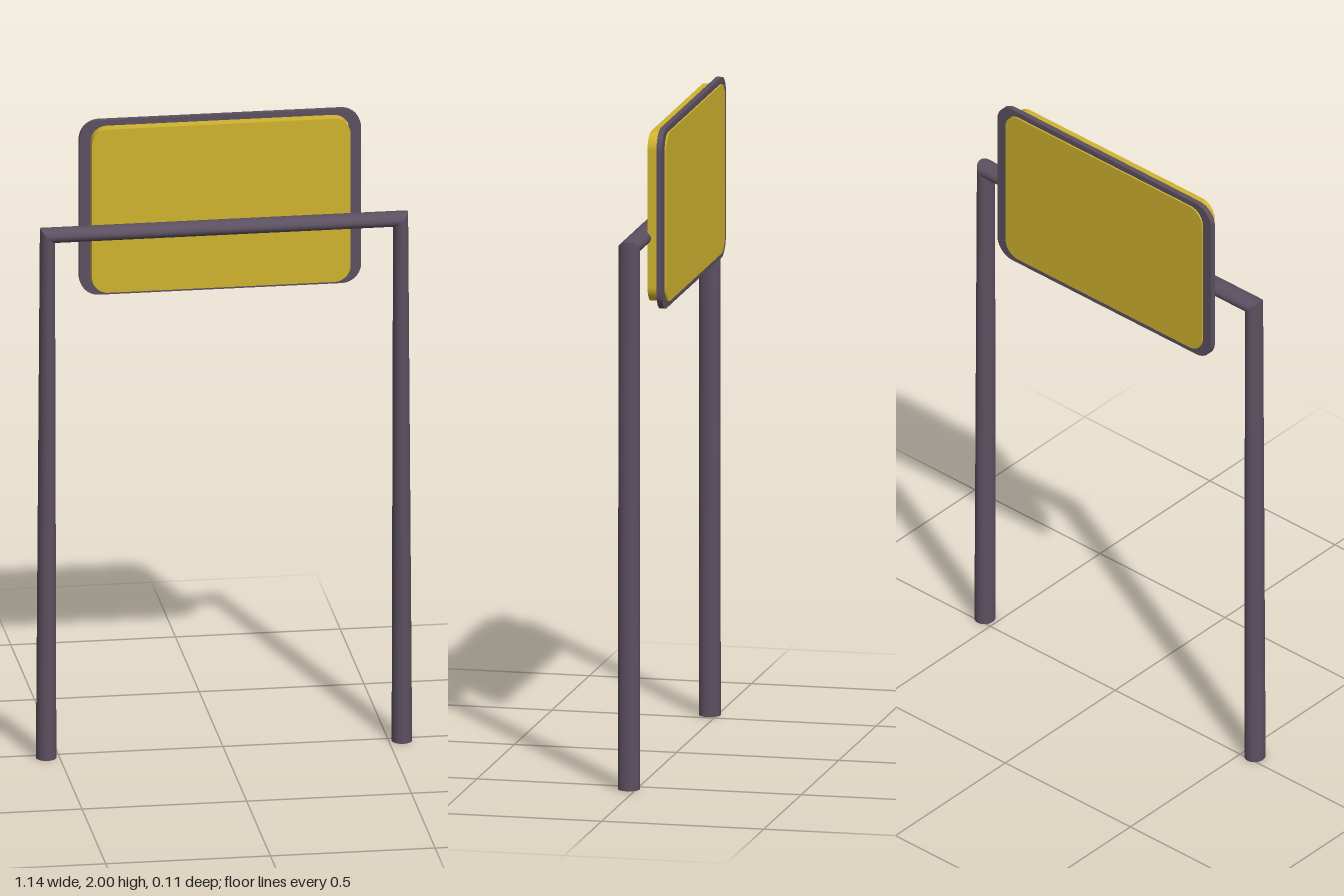
import * as THREE from 'three';

const SIDES = 24, POLE_Z = 0.022, DEPTH_R = 0.033;

// Oval ring; (ux, uy) is the outward direction at angle 0, the depth axis is z
function ring(x, y, ux, uy) {
  return Array.from({ length: SIDES }, (_, i) => {
    const a = (i / SIDES) * Math.PI * 2, c = Math.cos(a);
    return [x + ux * c, y + uy * c, POLE_Z + DEPTH_R * Math.sin(a)];
  });
}

// Smooth open tube between two rings
function loft(a, b) {
  const index = [];
  for (let i = 0; i < SIDES; i++) {
    const j = (i + 1) % SIDES;
    index.push(i, j, SIDES + j, i, SIDES + j, SIDES + i);
  }
  const geo = new THREE.BufferGeometry();
  geo.setAttribute('position', new THREE.Float32BufferAttribute([...a, ...b].flat(), 3));
  geo.setIndex(index);
  geo.computeVertexNormals();
  return geo;
}

// Rounded rectangle outline centred on the origin
function roundedRect(w, h, r, Type = THREE.Shape) {
  const s = new Type(), x = w / 2 - r, y = h / 2 - r;
  s.absarc(x, y, r, 0, Math.PI / 2);
  s.absarc(-x, y, r, Math.PI / 2, Math.PI);
  s.absarc(-x, -y, r, Math.PI, Math.PI * 1.5);
  s.absarc(x, -y, r, Math.PI * 1.5, Math.PI * 2);
  s.closePath();
  return s;
}

export function createModel() {
  const group = new THREE.Group();
  const metal = new THREE.MeshStandardMaterial({ color: 0x5c5060 });
  const yellow = new THREE.MeshStandardMaterial({ color: 0xd0b42f });
  const add = (name, geo, mat, x = 0, y = 0, z = 0) => {
    const mesh = new THREE.Mesh(geo, mat);
    mesh.name = name;
    mesh.position.set(x, y, z);
    group.add(mesh);
  };

  // Tapered posts and crossbar, meeting in mitred corners
  const footX = 0.54, footR = 0.031, topX = 0.536, topY = 1.6625, topR = 0.0225;
  const rings = [
    ring(-footX, 0, -footR, 0),
    ring(-topX, topY, -topR, topR),
    ring(topX, topY, topR, topR),
    ring(footX, 0, footR, 0),
  ];
  ['rightPost', 'crossbar', 'leftPost'].forEach((name, i) => add(name, loft(rings[i], rings[i + 1]), metal));

  // Closed post bottoms
  for (const [side, s] of [['left', 1], ['right', -1]]) {
    const cap = new THREE.CircleGeometry(1, SIDES).scale(footR, DEPTH_R, 1).rotateX(Math.PI / 2);
    add(side + 'PostBase', cap, metal, s * footX, 0, POLE_Z);
  }

  // Sign panel, held by a thin rim near its back
  const w = 0.785, h = 0.52, r = 0.05, cx = -0.003, cy = 1.7225;
  const extrude = (shape, depth) =>
    new THREE.ExtrudeGeometry(shape, { depth, bevelEnabled: false, curveSegments: 8 });
  add('signPanel', extrude(roundedRect(w, h, r), 0.058), yellow, cx - 0.002, cy, -0.058);

  const rim = roundedRect(0.855, 0.555, 0.06);
  rim.holes.push(roundedRect(w, h, r, THREE.Path));
  add('signRim', extrude(rim, 0.017), metal, cx, cy, -0.053);

  return group;
}
